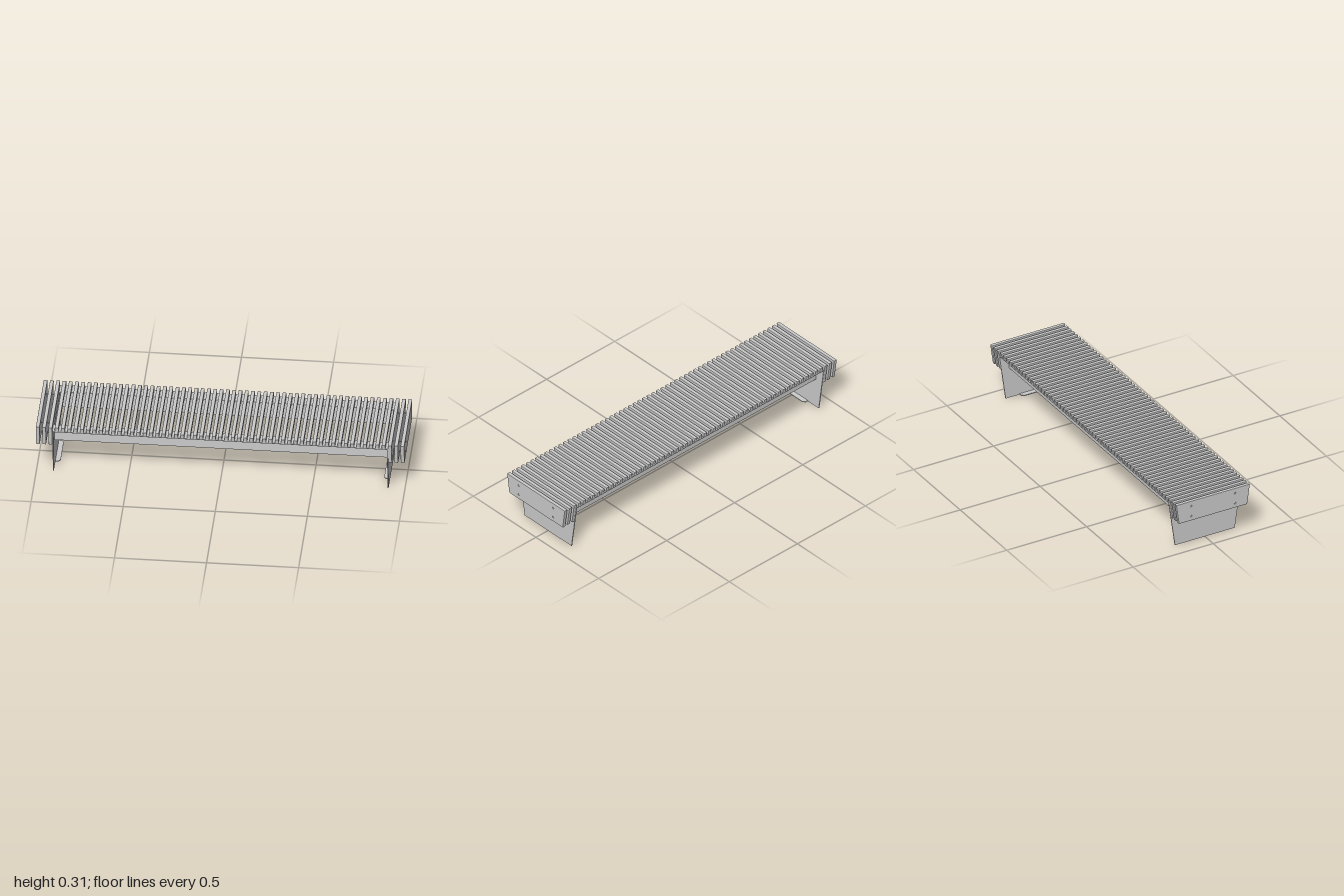
import * as THREE from 'three';

const material = new THREE.MeshStandardMaterial({ color: 0xcccccc });
const TOP = 0.305, BOARD_BOTTOM = 0.185, SLAT_BOTTOM = 0.28;
const SLATS = 59, SLAT_W = 0.02, PITCH = (2 - SLAT_W) / (SLATS - 1);
const LEG_X = 0.911, SHEET = 0.005;
const SCREWS = [[-0.137, 0.213], [0.137, 0.213], [-0.137, 0.275], [0.137, 0.275]];

// Half depth of the tapering bench at a given height
const halfDepth = y => 0.187 + 0.043 * y / TOP;

function addMesh(parent, geometry, name, x = 0, y = 0, z = 0) {
  const mesh = new THREE.Mesh(geometry, material);
  mesh.name = name;
  mesh.position.set(x, y, z);
  parent.add(mesh);
  return mesh;
}

// Tapered outline in the depth/height plane
function taperShape(y0, y1) {
  const a = halfDepth(y0), b = halfDepth(y1);
  return new THREE.Shape([[-a, y0], [a, y0], [b, y1], [-b, y1]].map(p => new THREE.Vector2(...p)));
}

// Plate of the given thickness, centred on x = 0
function plate(shape, thickness, bevel = 0) {
  const g = new THREE.ExtrudeGeometry(shape, {
    depth: thickness - 2 * bevel, curveSegments: 8, bevelEnabled: bevel > 0,
    bevelThickness: bevel, bevelSize: bevel, bevelOffset: -bevel, bevelSegments: 2,
  });
  g.translate(0, 0, bevel - thickness / 2);
  return g.rotateY(Math.PI / 2);
}

export function createModel() {
  const bench = new THREE.Group();
  bench.name = 'slattedBench';

  // Seat slats, with three deep boards at each end
  const slatGeo = plate(taperShape(SLAT_BOTTOM, TOP), SLAT_W, 0.002);
  const boardShape = taperShape(BOARD_BOTTOM, TOP);
  const boardGeo = plate(boardShape, SLAT_W, 0.002);
  const drilled = boardShape.clone();
  for (const [z, y] of SCREWS) drilled.holes.push(new THREE.Path().absarc(z, y, 0.0055, 0, Math.PI * 2, true));
  const drilledGeo = plate(drilled, SLAT_W, 0.002);
  for (let i = 0; i < SLATS; i++) {
    const fromEnd = Math.min(i, SLATS - 1 - i);
    const x = -1 + SLAT_W / 2 + i * PITCH;
    if (fromEnd === 0) addMesh(bench, drilledGeo, 'outerEndBoard', x);
    else if (fromEnd < 3) addMesh(bench, boardGeo, 'endBoard', x);
    else addMesh(bench, slatGeo, 'seatSlat', x);
  }

  // Folded sheet legs, foot flanges and the screws holding the end boards
  const legGeo = plate(taperShape(0, SLAT_BOTTOM), SHEET);
  const footShape = new THREE.Shape([[0, -0.1], [0.018, -0.1], [0.03, -0.088], [0.03, 0.088], [0.018, 0.1], [0, 0.1]]
    .map(p => new THREE.Vector2(...p)));
  const footGeo = new THREE.ExtrudeGeometry(footShape, { depth: SHEET, bevelEnabled: false });
  footGeo.rotateX(-Math.PI / 2);
  const screwLength = 0.992 - LEG_X;
  const shankGeo = new THREE.CylinderGeometry(0.003, 0.003, screwLength, 8).rotateZ(Math.PI / 2);
  const headGeo = new THREE.CylinderGeometry(0.0045, 0.0045, 0.005, 12).rotateZ(Math.PI / 2);
  for (const side of [-1, 1]) {
    const end = new THREE.Group();
    end.name = side > 0 ? 'leftLeg' : 'rightLeg';
    addMesh(end, legGeo, 'legPanel', LEG_X - SHEET / 2);
    const foot = addMesh(end, footGeo, 'footFlange', LEG_X - SHEET / 2);
    foot.rotation.y = Math.PI;
    for (const [z, y] of SCREWS) {
      addMesh(end, shankGeo, 'screwShank', LEG_X + screwLength / 2, y, z);
      addMesh(end, headGeo, 'screwHead', 0.994, y, z);
    }
    if (side < 0) end.rotation.y = Math.PI;
    bench.add(end);
  }

  // Angle beams under the slats, flanges turned outward
  const length = 2 * (LEG_X - SHEET);
  const outer = halfDepth(SLAT_BOTTOM), inner = 0.16;
  const webGeo = new THREE.BoxGeometry(length, SLAT_BOTTOM - BOARD_BOTTOM, SHEET);
  const flangeGeo = new THREE.BoxGeometry(length, SHEET, outer - inner);
  for (const side of [-1, 1]) {
    const beam = new THREE.Group();
    beam.name = side > 0 ? 'frontBeam' : 'backBeam';
    addMesh(beam, webGeo, 'beamWeb', 0, (SLAT_BOTTOM + BOARD_BOTTOM) / 2, side * (inner + SHEET / 2));
    addMesh(beam, flangeGeo, 'beamFlange', 0, SLAT_BOTTOM - SHEET / 2, side * (inner + outer) / 2);
    bench.add(beam);
  }
  return bench;
}
